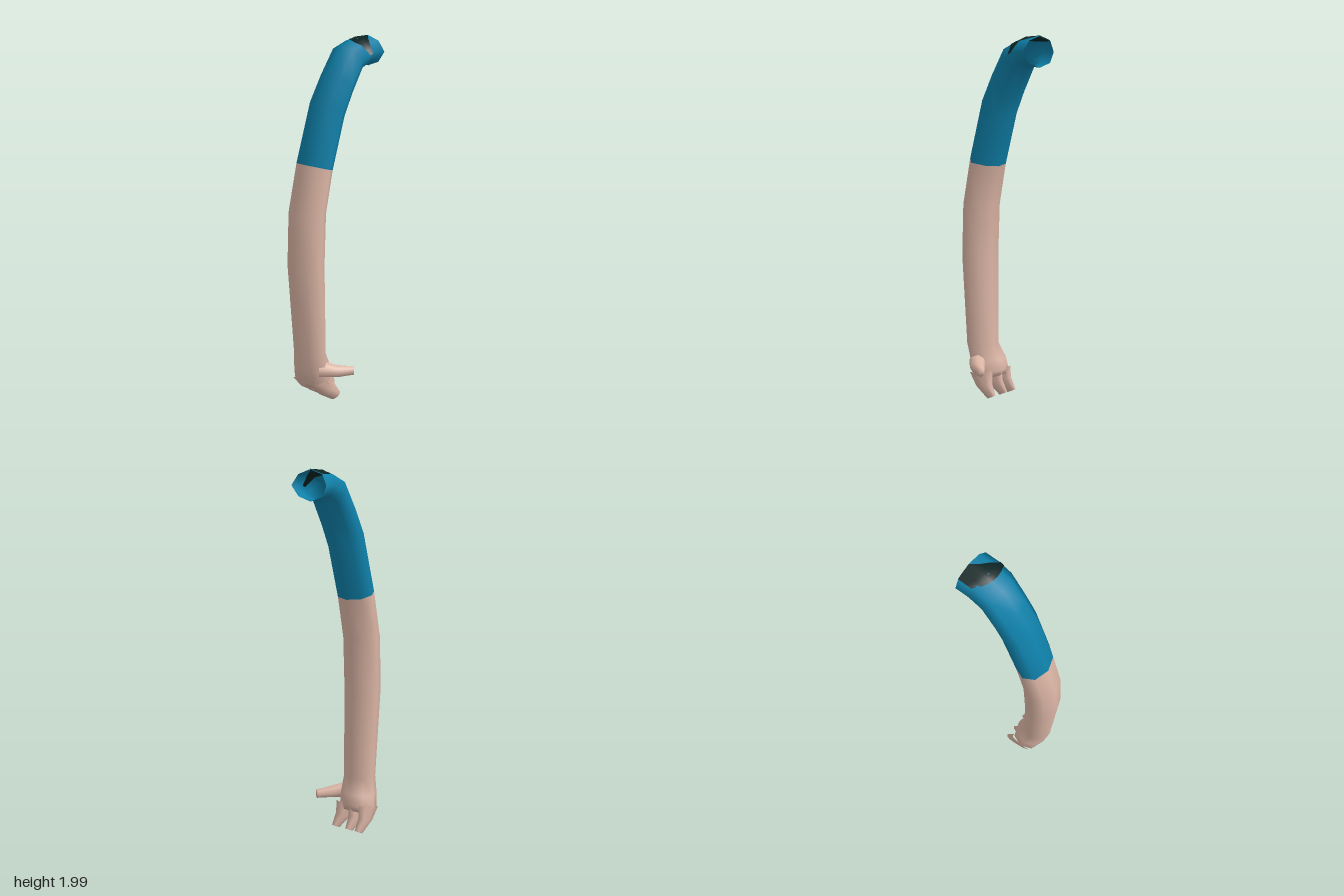
import * as THREE from 'three';

// Eight-sided section: t runs from the outer to the inner edge, Z is the sideways offset
const T = [0, 0.15, 0.5, 0.85, 1, 0.85, 0.5, 0.15];
const Z = [-0.09, 0.59, 1, 0.59, -0.09, -0.77, -1, -0.77];
const mix = THREE.MathUtils.lerp;

// Section spanning an outer and an inner point, centred on zc with half width zw
const section = ([ox, oy, ix, iy, zc = -0.024, zw = 0.114]) =>
  T.map((t, k) => new THREE.Vector3(mix(ox, ix, t), mix(oy, iy, t), zc + Z[k] * zw));

// Skins closed rings of points; the far end is capped
function loft(rings, split = 0) {
  const n = rings[0].length, pts = rings.flat(), index = [];
  const geo = new THREE.BufferGeometry();
  for (let i = 0; i < rings.length - 1; i++) {
    if (split && i === split) geo.addGroup(0, index.length, 0);
    for (let k = 0; k < n; k++) {
      const a = i * n + k, b = i * n + (k + 1) % n;
      index.push(a + n, b + n, a, b + n, b, a);
    }
  }
  const last = (rings.length - 1) * n;
  const mid = new THREE.Vector3();
  rings.at(-1).forEach((p) => mid.addScaledVector(p, 1 / n));
  for (let k = 0; k < n; k++) index.push(pts.length, last + (k + 1) % n, last + k);
  if (split) {
    const start = geo.groups[0].count;
    geo.addGroup(start, index.length - start, 1);
  }
  geo.setFromPoints([...pts, mid]);
  geo.setIndex(index);
  geo.computeVertexNormals();
  return geo;
}

export function createModel() {
  const group = new THREE.Group();
  const material = (name, color, side = THREE.FrontSide) => {
    const m = new THREE.MeshStandardMaterial({ color, side });
    m.name = name;
    return m;
  };
  const blue = material('sleeveBlue', 0x0f80a9, THREE.DoubleSide);
  const skin = material('skin', 0xdbb5a5);
  const black = material('patchBlack', 0x0c2424, THREE.DoubleSide);
  const add = (name, geo, mat) => {
    const mesh = new THREE.Mesh(geo, mat);
    mesh.name = name;
    group.add(mesh);
  };

  // Arm from the open shoulder to the palm: sleeve down to the sixth ring, then skin
  const arm = [
    [0.27, 2.0, 0.27, 1.84],
    [0.17, 1.995, 0.22, 1.845],
    [0.07, 1.955, 0.17, 1.82],
    [-0.02, 1.82, 0.1, 1.69],
    [-0.1, 1.68, 0.05, 1.58],
    [-0.2, 1.355, -0.03, 1.31],
    [-0.26, 1.09, -0.075, 1.09],
    [-0.273, 0.8, -0.085, 0.8, -0.024, 0.112],
    [-0.24, 0.3, -0.075, 0.3, -0.023, 0.098],
    [-0.225, 0.21, -0.035, 0.22, -0.037, 0.11],
    [-0.21, 0.13, -0.025, 0.16, -0.043, 0.117],
    [-0.165, 0.09, -0.035, 0.13, -0.045, 0.105],
  ].map(section);
  add('arm', loft(arm, 5), [blue, skin]);

  // Three curled fingers: z at the knuckle and at the tip
  [[0.025, 0.033], [-0.054, -0.06], [-0.122, -0.126]].forEach(([z0, z1], i) => {
    const w = [0.046, 0.038, 0.036][i];
    add('finger' + (i + 1), loft([
      [-0.2, 0.135, -0.03, 0.17, z0, w],
      [-0.14, 0.065, -0.03, 0.1, mix(z0, z1, 0.5), w * 0.8],
      [-0.05, 0.01, 0.008, 0.04, z1, 0.016],
    ].map(section)), skin);
  });

  // Thumb pointing forward and inward
  const thumb = [
    [-0.14, 0.215, 0.02, 0.05, 0.05],
    [-0.065, 0.203, 0.096, 0.042, 0.033],
    [0.01, 0.2, 0.143, 0.022, 0.025],
  ].map(([x, y, z, w, h]) => Array.from({ length: 8 }, (_, k) => {
    const a = k * Math.PI / 4, c = Math.cos(a) * w;
    return new THREE.Vector3(x - 0.6 * c, y + Math.sin(a) * h, z + 0.8 * c);
  }));
  add('thumb', loft(thumb), skin);

  // Point on the shoulder surface at a given x, along side line k
  const along = (x, k) => {
    const i = x > arm[1][k].x ? 0 : 1;
    const a = arm[i][k], b = arm[i + 1][k];
    return a.clone().lerp(b, (a.x - x) / (a.x - b.x));
  };
  const surface = (x, k) => {
    const f = Math.floor(k);
    return along(x, (f + 8) % 8).lerp(along(x, (f + 9) % 8), k - f);
  };

  // Dark shoulder patch, outside and inside the sleeve: side line, x from, x to
  const rows = [[-1, 0.195, 0.27], [-0.5, 0.158, 0.27], [0, 0.136, 0.268],
    [0.5, 0.135, 0.23], [1, 0.142, 0.2], [1.6, 0.157, 0.189], [2, 0.165, 0.185]];
  const cols = 8;
  [['shoulderPatch', 1.03], ['shoulderPatchInside', 0.97]].forEach(([name, s]) => {
    const pts = [], index = [];
    rows.forEach(([k, x0, x1], r) => {
      for (let c = 0; c <= cols; c++) {
        const p = surface(mix(x0, x1, c / cols), k);
        p.y = 1.92 + (p.y - 1.92) * s;
        p.z = -0.024 + (p.z + 0.024) * s;
        pts.push(p);
        if (r && c) {
          const d = r * (cols + 1) + c, b = d - cols - 1;
          index.push(b - 1, d - 1, b, d - 1, d, b);
        }
      }
    });
    const geo = new THREE.BufferGeometry().setFromPoints(pts);
    geo.setIndex(index);
    geo.computeVertexNormals();
    add(name, geo, black);
  });

  // Stand on the ground, centred
  const box = new THREE.Box3().setFromObject(group);
  const centre = box.getCenter(new THREE.Vector3());
  group.position.set(-centre.x, -box.min.y, -centre.z);
  return group;
}
